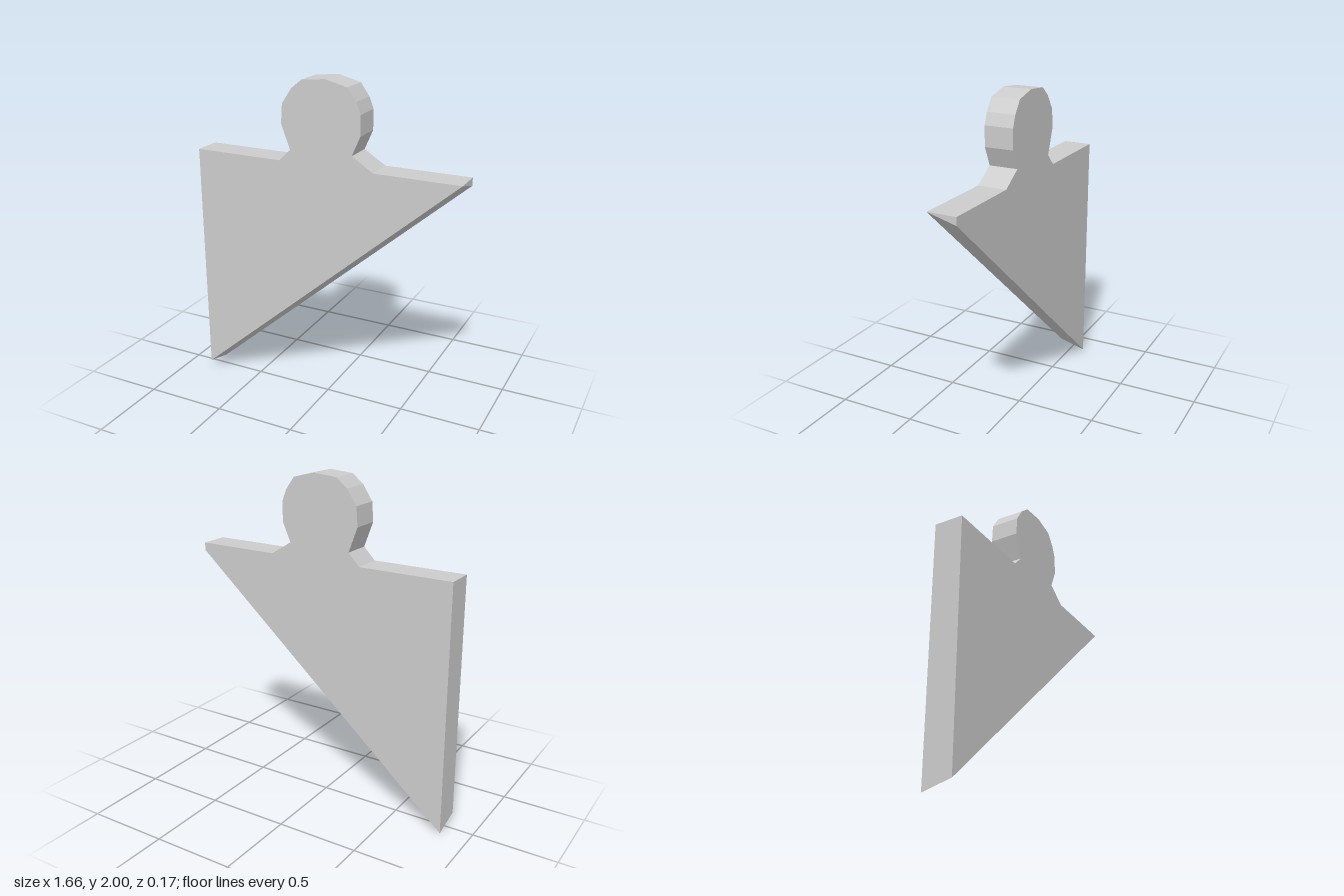
import * as THREE from 'three';

const HALF = 0.087;   // half thickness of the slab
const BEVEL = 0.047;  // rise of the slanted lower edge from back to front
const SHOULDER = 1.508;

export function createModel() {
  const group = new THREE.Group();
  group.name = 'pennantPlate';

  // Triangular plate with a neck and a rounded head, counter-clockwise
  const outline = [
    [-0.832, 0], [0.832, SHOULDER - BEVEL], [0.832, SHOULDER],
    [0.32, SHOULDER], [0.19, 1.59],
    [0.24, 1.705], [0.24, 1.825], [0.213, 1.893], [0.16, 1.967], [0.025, 2.0],
    [-0.12, 1.987], [-0.187, 1.932], [-0.247, 1.842], [-0.255, 1.727],
    [-0.20, 1.58], [-0.27, SHOULDER], [-0.832, SHOULDER],
  ];
  const shape = new THREE.Shape(outline.map(([x, y]) => new THREE.Vector2(x, y)));
  const geometry = new THREE.ExtrudeGeometry(shape, { depth: 2 * HALF, bevelEnabled: false });
  geometry.translate(0, 0, -HALF);

  // Raise the front end of the diagonal edge so its face slants
  const pos = geometry.attributes.position;
  for (let i = 0; i < pos.count; i++) {
    const y = pos.getY(i);
    const onDiagonal = y < 0.01 || Math.abs(y - (SHOULDER - BEVEL)) < 0.005;
    if (pos.getZ(i) > 0 && onDiagonal) pos.setY(i, y + BEVEL);
  }
  geometry.computeVertexNormals();

  const plate = new THREE.Mesh(
    geometry,
    new THREE.MeshStandardMaterial({ color: 0xcccccc, flatShading: true })
  );
  plate.name = 'plateWithHead';
  group.add(plate);
  return group;
}
